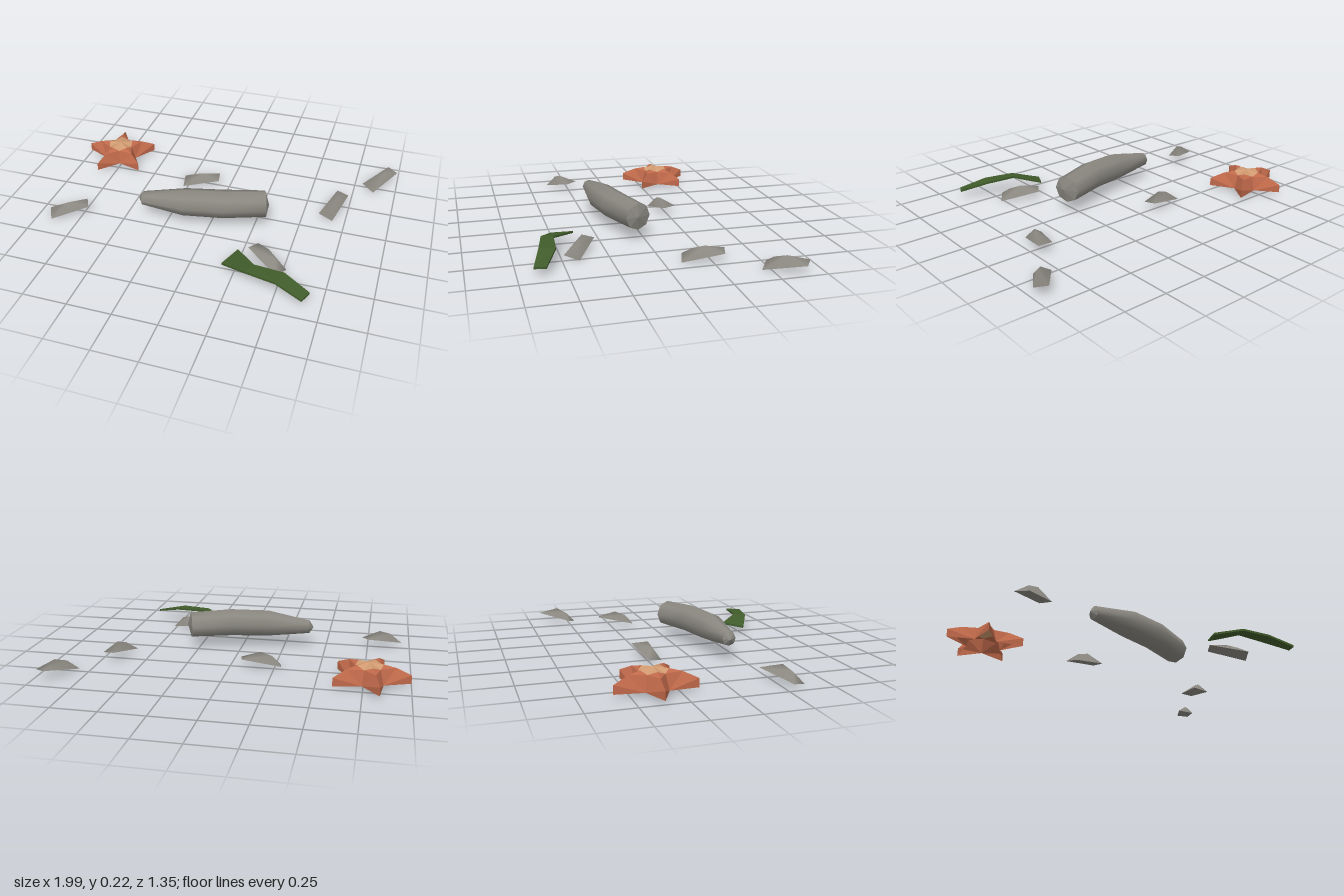
import * as THREE from 'three';

const mat = (name, color, extra = {}) => new THREE.MeshStandardMaterial({ name, color, ...extra });

// Geometry from points and polygon faces (fanned); flat when split
function facets(points, faces, flat = true) {
  const index = [];
  for (const f of faces) for (let i = 1; i < f.length - 1; i++) index.push(f[0], f[i], f[i + 1]);
  let geo = new THREE.BufferGeometry();
  geo.setAttribute('position', new THREE.Float32BufferAttribute(points.flat(), 3));
  geo.setIndex(index);
  if (flat) geo = geo.toNonIndexed();
  geo.computeVertexNormals();
  return geo;
}

// Round sections [x, y, z, radius] joined along a path, with pointed flat-faced ends
function logGeometries(rings, apexA, apexB, sides = 8) {
  const pts = [], skin = [];
  const n = rings.length;
  rings.forEach(([x, y, z, r], i) => {
    const a = rings[Math.max(0, i - 1)], b = rings[Math.min(n - 1, i + 1)];
    const t = new THREE.Vector2(b[0] - a[0], b[2] - a[2]).normalize();
    for (let k = 0; k < sides; k++) {
      const ang = (k / sides) * Math.PI * 2, c = Math.cos(ang) * r;
      pts.push([x - t.y * c, y + Math.sin(ang) * r, z + t.x * c]);
      const k2 = (k + 1) % sides;
      if (i < n - 1) skin.push([i * sides + k, (i + 1) * sides + k, (i + 1) * sides + k2, i * sides + k2]);
    }
  });
  const capA = [], capB = [], last = (n - 1) * sides, end = pts.length;
  for (let k = 0; k < sides; k++) {
    const k2 = (k + 1) % sides;
    capA.push([end, k, k2]);
    capB.push([end + 1, last + k2, last + k]);
  }
  return [facets(pts, skin, false), facets([...pts, apexA, apexB], [...capA, ...capB])];
}

export function createModel() {
  const model = new THREE.Group();
  const grey = mat('stone grey', 0x8a8780);
  const orange = mat('starfish orange', 0xc0694a, { side: THREE.DoubleSide });
  const tan = mat('starfish tan', 0xd09a70, { side: THREE.DoubleSide });
  const green = mat('weed green', 0x415c2b);
  const add = (parent, name, geo, material) => {
    const mesh = new THREE.Mesh(geo, material);
    mesh.name = name;
    parent.add(mesh);
    return mesh;
  };
  const group = (name) => {
    const g = new THREE.Group();
    g.name = name;
    model.add(g);
    return g;
  };

  // Driftwood log, slightly bent and tapered
  const log = group('driftwood');
  const [skin, ends] = logGeometries(
    [[-0.4, 0.125, 0.177, 0.04], [-0.15, 0.138, 0.16, 0.08], [0.07, 0.142, 0.12, 0.083], [0.302, 0.138, 0.04, 0.077]],
    [-0.425, 0.125, 0.177], [0.325, 0.14, 0.048]);
  add(log, 'driftwoodBody', skin, grey);
  add(log, 'driftwoodEnds', ends, grey);

  // Starfish: open shell with ridged arms and a paler centre
  const star = group('starfish');
  star.position.set(-0.777, 0, -0.367);
  const pts = [[0, 0.122, 0]], arms = [], centre = [];
  const polar = (deg, r, y) => {
    const a = THREE.MathUtils.degToRad(deg);
    return [r * Math.cos(a), y, -r * Math.sin(a)];
  };
  for (let i = 0; i < 5; i++) {
    const a = 34 + i * 72;
    pts.push(polar(a, 0.075, 0.113), polar(a, 0.14, 0.1), polar(a, 0.222, 0.065), polar(a, 0.222, 0.018),
      polar(a + 36, 0.075, 0.098), polar(a + 36, 0.1, 0.018));
    const o = 1 + i * 6, p = 1 + ((i + 4) % 5) * 6;
    const [c, m, t, b, v, n, pv, pn] = [o, o + 1, o + 2, o + 3, o + 4, o + 5, p + 4, p + 5];
    centre.push([0, c, v], [0, pv, c]);
    arms.push([c, m, v], [m, n, v], [m, t, n], [t, b, n]);
    arms.push([c, pv, m], [m, pv, pn], [m, pn, t], [t, pn, b]);
  }
  add(star, 'starfishArms', facets(pts, arms), orange);
  add(star, 'starfishCentre', facets(pts, centre), tan);

  // Shell shards: four base corners under a crooked ridge
  const shard = [
    [-0.045, 0.018, 0.111], [0.045, 0, 0.111], [0.037, 0.05, -0.111], [-0.037, 0.058, -0.111],
    [0.006, 0.065, 0.062], [0.017, 0.086, -0.005]];
  const shardTop = facets(shard, [[0, 1, 4], [1, 2, 5], [1, 5, 4], [2, 3, 5], [3, 0, 4], [3, 4, 5]], false);
  const shardBase = facets(shard, [[0, 3, 2], [0, 2, 1]]);
  const places = [[-0.833, 0.285, -1.077], [-0.176, -0.238, -1.388], [0.667, -0.211, -0.297],
    [0.897, -0.57, -0.619], [0.4, 0.387, 0.983]];
  places.forEach(([x, z, yaw], i) => {
    const g = group('shard' + (i + 1));
    g.position.set(x, 0, z);
    g.rotation.y = yaw;
    add(g, 'shardTop', shardTop, grey);
    add(g, 'shardBase', shardBase, grey);
  });

  // Weed blade: thin arched strip, back and front edge per section
  const blade = [
    [[0.24, 0.065, 0.395], [0.18, 0.045, 0.51]], [[0.36, 0.09, 0.52], [0.33, 0.085, 0.585]],
    [[0.53, 0.09, 0.535], [0.5, 0.085, 0.62]], [[0.68, 0.053, 0.605], [0.65, 0.045, 0.665]]];
  const bladePts = [], bladeFaces = [];
  blade.forEach(([back, front], i) => {
    const low = ([x, y, z]) => [x, y - 0.012, z];
    bladePts.push(back, front, low(front), low(back));
    const o = i * 4;
    if (i < 3) for (let k = 0; k < 4; k++) {
      const k2 = (k + 1) % 4;
      bladeFaces.push([o + k, o + k2, o + 4 + k2, o + 4 + k]);
    }
  });
  bladeFaces.push([3, 2, 1, 0], [12, 13, 14, 15]);
  add(model, 'weedBlade', facets(bladePts, bladeFaces), green);

  return model;
}
